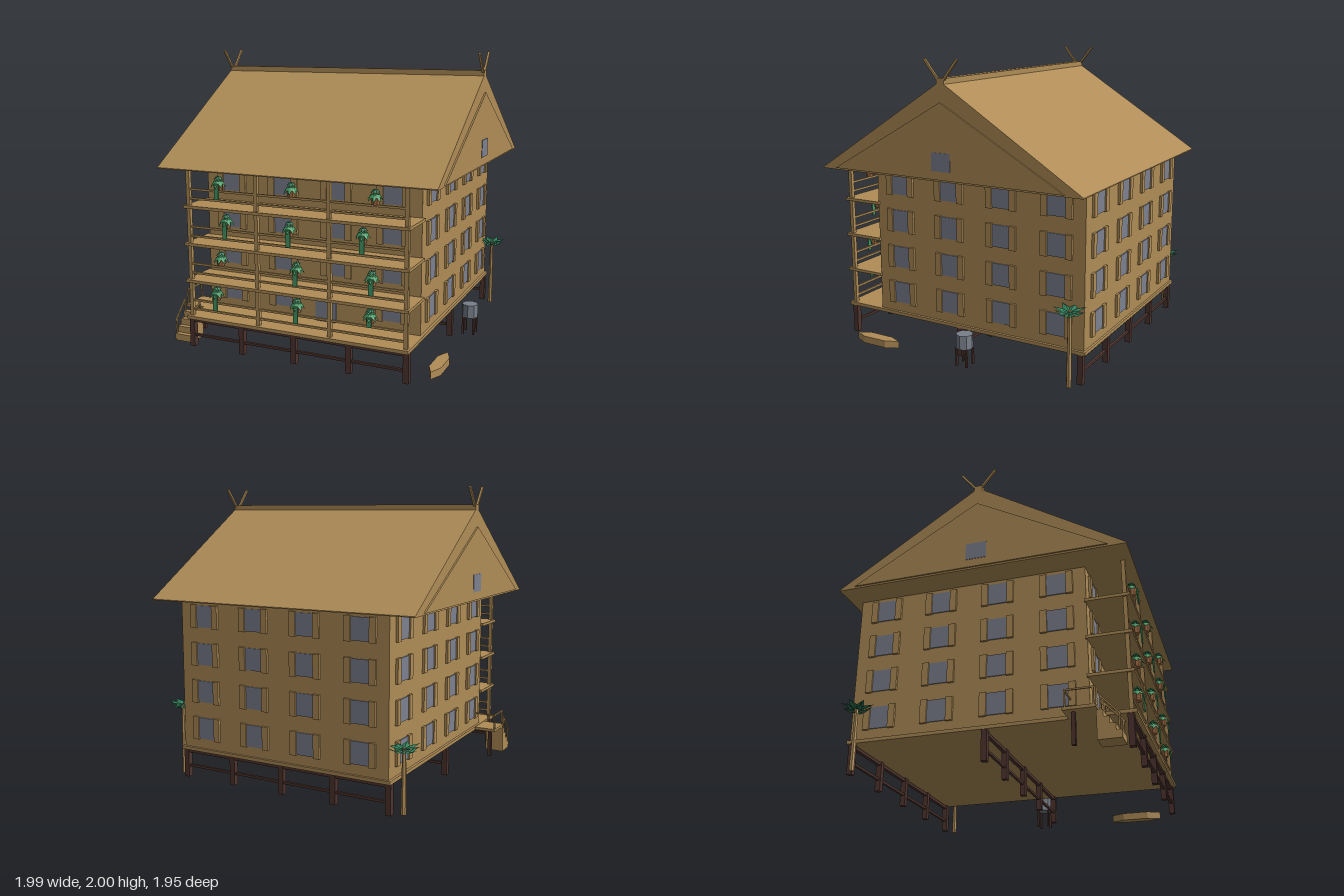
import * as THREE from 'three';

const mat = (name, color) => {
  const m = new THREE.MeshStandardMaterial({ color, flatShading: true });
  m.name = name;
  return m;
};

export function createModel() {
  const wood = mat('warm wood', 0xb08d57);
  const dark = mat('dark timber', 0x4e342e);
  const glass = mat('window grey', 0x7d8190);
  const leafMat = mat('leaf green', 0x459a65);
  leafMat.side = THREE.DoubleSide;
  const palmMat = mat('palm green', 0x2f7d5a);
  palmMat.side = THREE.DoubleSide;
  const clay = mat('clay', 0xa06a40);
  const metal = mat('tank grey', 0x78808a);

  const model = new THREE.Group();
  model.name = 'stiltHouse';
  const add = (name, geo, m, x, y, z, parent = model) => {
    const mesh = new THREE.Mesh(geo, m);
    mesh.name = name;
    mesh.position.set(x, y, z);
    parent.add(mesh);
    return mesh;
  };
  // box given by its lower and upper limits on each axis
  const span = (name, m, x0, x1, y0, y1, z0, z1, parent) =>
    add(name, new THREE.BoxGeometry(x1 - x0, y1 - y0, z1 - z0), m,
      (x0 + x1) / 2, (y0 + y1) / 2, (z0 + z1) / 2, parent);
  // square bar between two points
  const bar = (name, m, a, b, t, parent = model) => {
    const p = new THREE.Vector3(...a), q = new THREE.Vector3(...b);
    const mesh = add(name, new THREE.BoxGeometry(t, t, p.distanceTo(q)), m, 0, 0, 0, parent);
    mesh.position.copy(p).add(q).multiplyScalar(0.5);
    mesh.lookAt(q);
    return mesh;
  };
  // outline in (z, y) extruded along x
  const prism = (name, m, pts, x0, x1) => {
    const s = new THREE.Shape(pts.map(([z, y]) => new THREE.Vector2(-z, y)));
    const g = new THREE.ExtrudeGeometry(s, { depth: x1 - x0, bevelEnabled: false });
    g.rotateY(Math.PI / 2);
    return add(name, g, m, x0, 0, 0);
  };

  // Stilts and the beams joining each row
  for (const z of [0.91, 0.01, -0.885]) {
    for (let i = -2; i <= 2; i++)
      span('stilt', dark, i * 0.39 - 0.019, i * 0.39 + 0.019, 0, 0.2, z - 0.019, z + 0.019);
    span('lowerBeam', dark, -0.78, 0.78, 0.072, 0.088, z - 0.009, z + 0.009);
    span('upperBeam', dark, -0.78, 0.78, 0.175, 0.195, z - 0.013, z + 0.013);
  }

  // Body and balcony floors
  span('baseFloor', wood, -0.803, 0.803, 0.2, 0.223, -0.92, 0.95);
  span('walls', wood, -0.785, 0.785, 0.22, 1.24, -0.905, 0.67);
  const floors = [0.223, 0.48, 0.737, 0.994];
  floors.forEach((y, i) => {
    if (i) span('balconyFloor', wood, -0.803, 0.803, y - 0.02, y, 0.66, 0.95);
    for (const h of [0.045, 0.108])
      span('balconyRail', wood, -0.78, 0.78, y + h - 0.007, y + h + 0.007, 0.908, 0.922);
  });
  for (const x of [-0.777, -0.26, 0.26, 0.777])
    span('balconyPost', wood, x - 0.013, x + 0.013, 0.22, 1.24, 0.902, 0.928);

  // Windows with shutters
  const paneGeo = new THREE.BoxGeometry(0.135, 0.147, 0.008);
  const shutterGeo = new THREE.BoxGeometry(0.045, 0.158, 0.018);
  const windowAt = (x, y, z, turn) => {
    const g = new THREE.Group();
    g.name = 'window';
    add('pane', paneGeo, glass, 0, 0, 0.003, g);
    for (const s of [-1, 1]) add('shutter', shutterGeo, wood, s * 0.087, 0, 0.008, g);
    g.position.set(x, y, z);
    g.rotation.y = turn;
    model.add(g);
  };
  for (let i = 0; i < 4; i++) {
    const y = 0.365 + i * 0.257;
    for (const z of [0.478, 0.082, -0.314, -0.71]) {
      windowAt(0.785, y, z, Math.PI / 2);
      windowAt(-0.785, y, z, -Math.PI / 2);
    }
    for (const x of [-0.59, -0.195, 0.195, 0.59]) {
      windowAt(x, y, -0.905, Math.PI);
      if (i > 0 || x !== 0.195) windowAt(x, y, 0.67, 0);
    }
  }
  span('door', glass, 0.04, 0.195, 0.223, 0.445, 0.668, 0.677);

  // Roof, ridge cap, gable panels and crossed finials
  prism('roof', wood, [[0.977, 1.235], [0.977, 1.242], [0, 1.862], [-0.977, 1.242], [-0.977, 1.235]], -0.98, 0.98);
  span('ridgeCap', wood, -0.98, 0.98, 1.84, 1.88, -0.028, 0.028);
  for (const s of [-1, 1]) {
    const tri = [[0.86, 1.247], [0, 1.733], [-0.86, 1.247]];
    prism('gablePanel', wood, tri, s * 0.984 - 0.006, s * 0.984 + 0.006);
    span('gableWindow', glass, s * 0.989 - 0.004, s * 0.989 + 0.004, 1.302, 1.42, -0.07, 0.07);
    for (const d of [-1, 1])
      bar('finial', wood, [s * 0.97, 1.85, d * 0.005], [s * 0.97, 1.995, d * 0.12], 0.015);
  }

  // Side stairs, landing and handrails
  for (let i = 0; i < 4; i++)
    span('step', wood, -0.955, -0.82, 0, 0.048 + i * 0.044, 0.74, 0.885 - i * 0.035);
  span('landing', wood, -0.955, -0.8, 0.2, 0.22, 0.54, 0.74);
  span('landingPost', dark, -0.915, -0.89, 0, 0.2, 0.583, 0.608);
  for (const x of [-0.95, -0.825]) {
    bar('stairRail', wood, [x, 0.14, 0.88], [x, 0.27, 0.76], 0.01);
    bar('stairRailPost', wood, [x, 0.05, 0.87], [x, 0.15, 0.87], 0.01);
    bar('stairRailPost', wood, [x, 0.18, 0.765], [x, 0.27, 0.765], 0.01);
  }
  for (const z of [0.725, 0.555]) bar('landingRailPost', wood, [-0.95, 0.21, z], [-0.95, 0.325, z], 0.01);
  bar('landingRail', wood, [-0.95, 0.325, 0.73], [-0.95, 0.325, 0.55], 0.01);
  bar('landingRail', wood, [-0.95, 0.325, 0.555], [-0.805, 0.325, 0.555], 0.01);

  // Canoe
  const hull = new THREE.Shape([[0, 0.18], [-0.04, 0.09], [-0.04, -0.09], [0, -0.18], [0.04, -0.09], [0.04, 0.09]]
    .map(p => new THREE.Vector2(...p)));
  const hullGeo = new THREE.ExtrudeGeometry(hull, { depth: 0.05, bevelEnabled: false });
  hullGeo.rotateX(-Math.PI / 2);
  add('canoe', hullGeo, wood, 0.9, 0, 0.625);

  // Water tank on legs
  add('waterTank', new THREE.CylinderGeometry(0.058, 0.058, 0.095, 8), metal, 0.895, 0.17, -0.096);
  for (const x of [0.857, 0.933]) for (const z of [-0.134, -0.058])
    span('tankLeg', dark, x - 0.007, x + 0.007, 0, 0.125, z - 0.007, z + 0.007);

  // Folded leaf along +z: narrow, widest at 45 percent of its length, bent by mid and tip heights
  const leafGeo = (len, w, mid, tip) => {
    const g = new THREE.BufferGeometry();
    g.setAttribute('position', new THREE.Float32BufferAttribute([
      0, 0, 0, -w, mid - w * 0.4, len * 0.45, 0, mid, len * 0.45, w, mid - w * 0.4, len * 0.45, 0, tip, len], 3));
    g.setIndex([0, 1, 2, 0, 2, 3, 1, 4, 2, 2, 4, 3]);
    g.computeVertexNormals();
    return g;
  };
  const crown = (name, geo, m, n, x, y, z, parent) => {
    for (let i = 0; i < n; i++)
      add(name, geo, m, x, y, z, parent).rotation.y = (i + 0.25) * Math.PI * 2 / n;
  };

  // Palms at the back corners
  for (const [x, h] of [[0.855, 0.5], [-0.855, 0.42]]) {
    add('palmTrunk', new THREE.CylinderGeometry(0.012, 0.018, h, 6), wood, x, h / 2, -0.838);
    crown('palmLeaf', leafGeo(0.108, 0.024, 0.022, 0.028), palmMat, 7, x, h - 0.01, -0.838);
    crown('palmLeaf', leafGeo(0.1, 0.02, -0.008, 0.012), palmMat, 6, x, h - 0.01, -0.838);
  }

  // Potted plants along the balcony rail: x, height, trailing vine length
  const potGeo = new THREE.CylinderGeometry(0.034, 0.025, 0.05, 8);
  const droop = leafGeo(0.056, 0.02, 0.002, -0.045);
  const upper = leafGeo(0.034, 0.014, 0.016, -0.008);
  const plants = [
    [-0.575, 0.4, 0.1], [0.03, 0.4, 0.1], [0.54, 0.4, 0.05],
    [-0.535, 0.645, 0], [0.03, 0.64, 0.09], [0.55, 0.645, 0.09],
    [-0.485, 0.905, 0.1], [-0.018, 0.9, 0.1], [0.49, 0.91, 0.1],
    [-0.54, 1.155, 0.09], [0, 1.155, 0], [0.57, 1.155, 0]];
  for (const [x, y, vine] of plants) {
    const g = new THREE.Group();
    g.name = 'pottedPlant';
    g.position.set(x, y, 0.92);
    model.add(g);
    add('pot', potGeo, clay, 0, -0.02, 0, g);
    crown('plantLeaf', droop, leafMat, 8, 0, 0.02, 0, g);
    crown('plantLeaf', upper, palmMat, 6, 0, 0.032, 0, g);
    add('sprout', new THREE.ConeGeometry(0.013, 0.03, 5), leafMat, 0, 0.04, 0, g);
    if (vine) span('trailingVine', leafMat, -0.008, 0.024, -0.01 - vine, 0.005, 0.034, 0.042, g);
  }
  return model;
}
